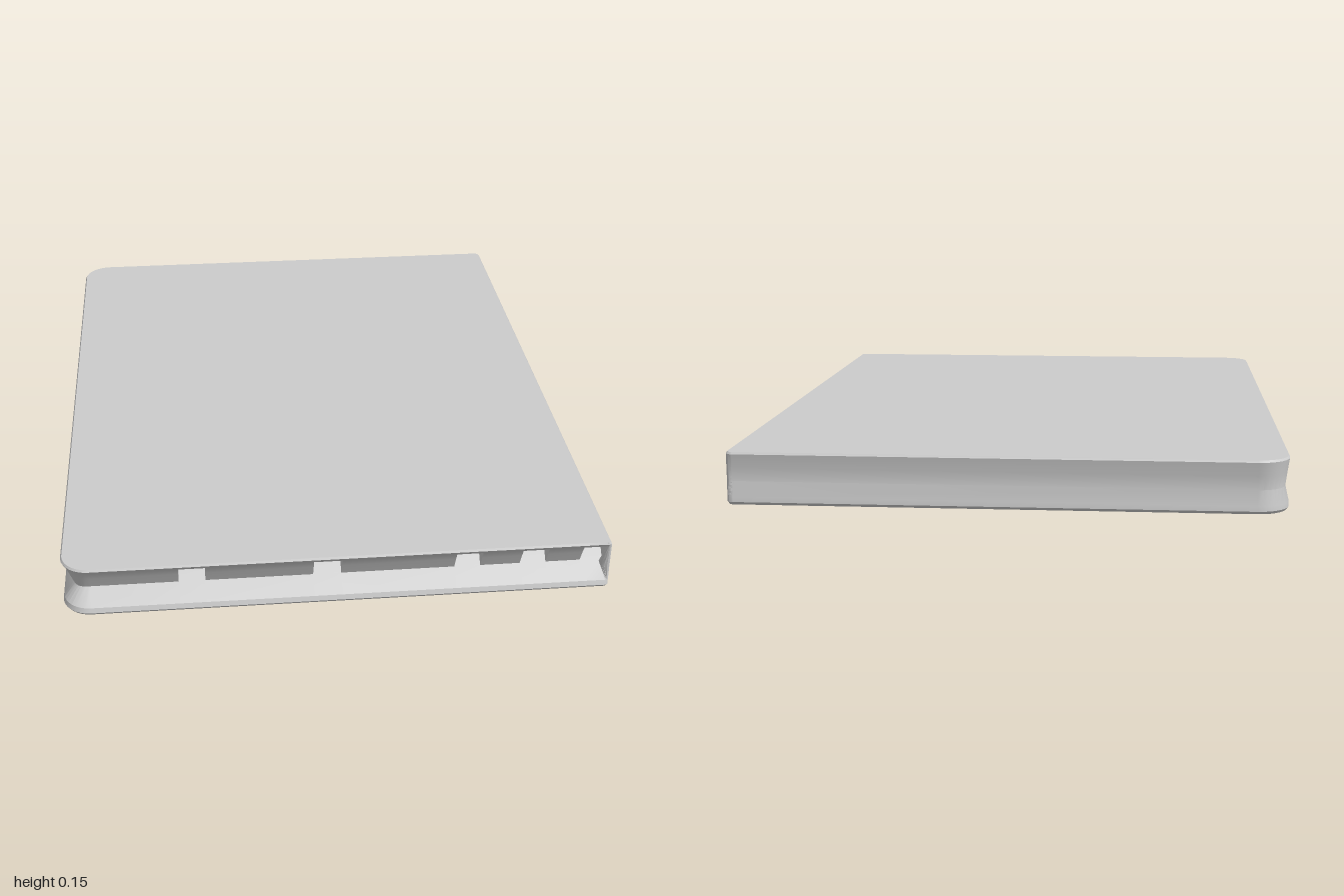
import * as THREE from 'three';
import { toCreasedNormals } from 'three/addons/utils/BufferGeometryUtils.js';

const BOTTOM = 0.008, TOP = 0.157, HALF_X = 0.777;
// Thumb notches cut into the front edge: [start x, end x]
const NOTCHES = [[-0.45, -0.375], [-0.07, 0.01], [0.335, 0.41], [0.525, 0.6], [0.7, 0.765]];

// Groove depth: deep at the front, shallow at the back, none along the flat right-hand spine
function grooveDepth(z, nx, nz) {
  const left = THREE.MathUtils.lerp(0.01, 0.035, (z + 1) / 2);
  const side = nz > 0 ? 0.05 : 0.012;
  return side * nz * nz + (nx < 0 ? left * nx * nx : 0);
}

// Outline points with outward normals, starting on the front edge and going toward +x
function makeOutline() {
  const points = [];
  const add = (x, z, nx, nz, notch = false) => points.push({ x, z, nx, nz, notch });
  const corner = (sx, sz, r, from) => {
    for (let i = 0; i <= 8; i++) {
      const t = from - (i / 8) * Math.PI / 2;
      const c = Math.cos(t), s = Math.sin(t);
      add(sx * (HALF_X - r) + r * c, sz * (1 - r) + r * s, c, s);
    }
  };
  for (const [a, b] of NOTCHES) {
    add(a, 1, 0, 1);
    add(a, 1, 0, 1, true);
    add(b, 1, 0, 1, true);
    add(b, 1, 0, 1);
  }
  corner(1, 1, 0.012, Math.PI / 2);
  corner(1, -1, 0.02, 0);
  corner(-1, -1, 0.09, -Math.PI / 2);
  // The left edge is divided so that its groove can deepen toward the front
  for (let i = 1; i < 6; i++) add(-HALF_X, -0.91 + i * 0.303, -1, 0);
  corner(-1, 1, 0.08, -Math.PI);
  return points;
}

// Levels of the edge profile: height and inset for one outline point
function edgeProfile(p) {
  const d = grooveDepth(p.z, p.nx, p.nz);
  const lip = p.nz > 0 ? 0.008 * p.nz : 0;
  return [
    [BOTTOM, 0.006],
    [BOTTOM + 0.008, 0],
    [0.03, d * 0.1],
    [0.073, d],
    p.notch ? [0.112, d + 0.035] : [0.112, d * 0.55 + lip * 0.5],
    [0.138, d * 0.2 + lip],
    [TOP - 0.006, lip],
    [TOP, lip + 0.004],
  ];
}

function slabGeometry() {
  const outline = makeOutline();
  const n = outline.length;
  const rings = outline.map(edgeProfile);
  const levels = rings[0].length;
  const positions = [], index = [];
  for (let l = 0; l < levels; l++) {
    outline.forEach((p, i) => {
      const [y, inset] = rings[i][l];
      positions.push(p.x - p.nx * inset, y, p.z - p.nz * inset);
    });
  }
  positions.push(0, BOTTOM, 0, 0, TOP, 0);
  const bottomCentre = n * levels, topCentre = bottomCentre + 1;
  for (let i = 0; i < n; i++) {
    const j = (i + 1) % n;
    for (let l = 0; l < levels - 1; l++) {
      const a = l * n + i, b = l * n + j;
      index.push(a, b, b + n, a, b + n, a + n);
    }
    index.push(bottomCentre, j, i);
    index.push(topCentre, (levels - 1) * n + i, (levels - 1) * n + j);
  }
  const geometry = new THREE.BufferGeometry();
  geometry.setAttribute('position', new THREE.Float32BufferAttribute(positions, 3));
  geometry.setIndex(index);
  return toCreasedNormals(geometry, 0.4);
}

export function createModel() {
  const model = new THREE.Group();
  model.name = 'slab';
  const material = new THREE.MeshStandardMaterial({ color: 0xcccccc, side: THREE.DoubleSide });
  // One closed body with a grooved, notched rim
  const body = new THREE.Mesh(slabGeometry(), material);
  body.name = 'groovedBody';
  model.add(body);
  return model;
}
